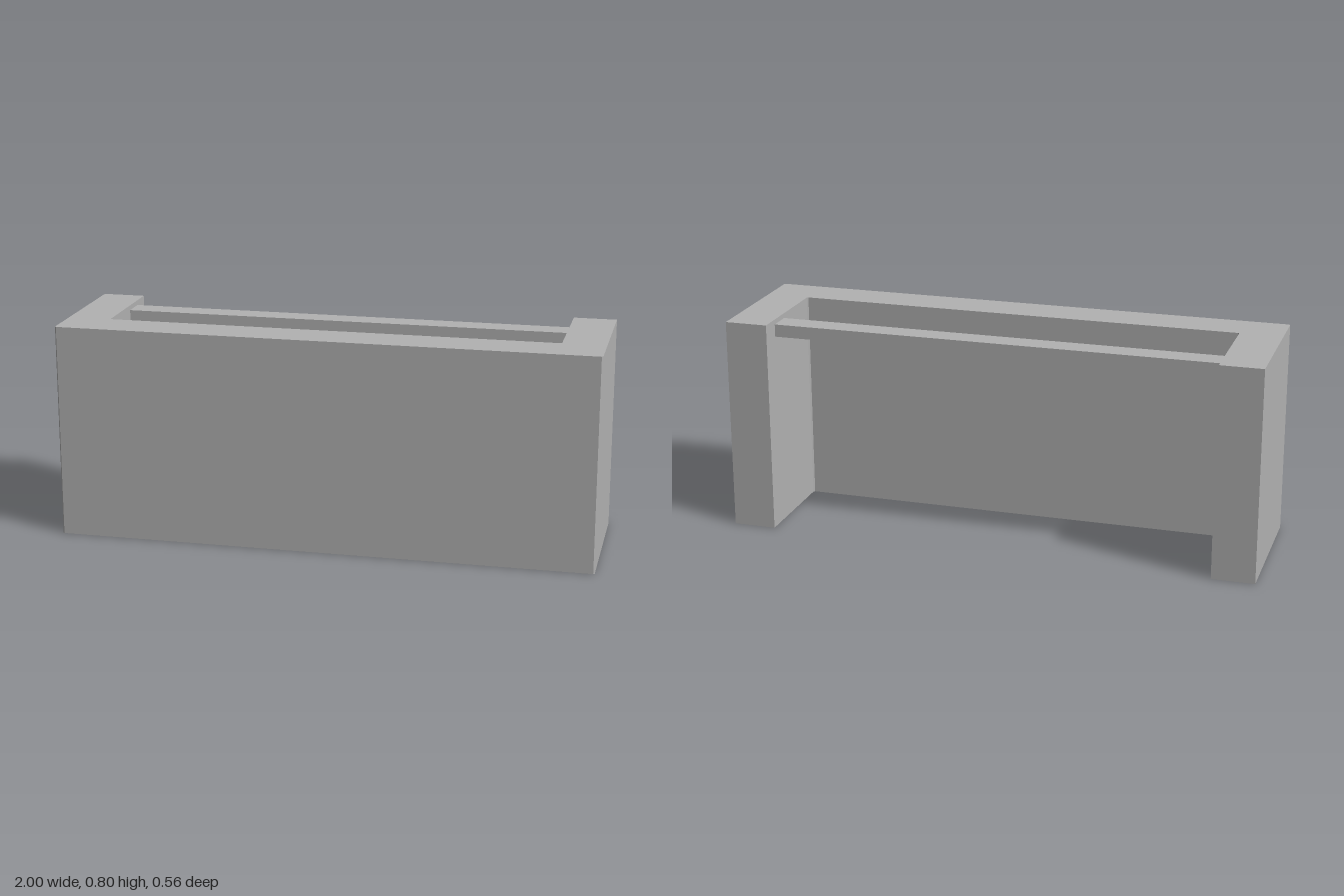
import * as THREE from 'three';

const H = 0.8;     // height
const B = 0.005;   // tiny chamfer on the corners

export function createModel() {
  const group = new THREE.Group();
  const grey = new THREE.MeshStandardMaterial({ color: 0xb2b2b2 });
  grey.name = 'plain grey';

  // U-shaped counter: plan outline (x, -z) extruded upward
  const half = [[0.84, 0.28], [1, 0.28], [1, -0.28 + B], [1 - B, -0.28]];
  const inner = [[0.84 - B, -0.12], [0.84, -0.12 + B]];
  const mirror = (pts) => pts.map(([x, y]) => [-x, y]).reverse();
  const outline = [...inner, ...half, ...mirror(half), ...mirror(inner)];
  const shape = new THREE.Shape(outline.map(([x, y]) => new THREE.Vector2(x, y)));
  const bodyGeo = new THREE.ExtrudeGeometry(shape, { depth: H, bevelEnabled: false });
  bodyGeo.rotateX(-Math.PI / 2);
  const body = new THREE.Mesh(bodyGeo, grey);
  body.name = 'counterBody';
  group.add(body);

  // Narrow rail spanning the open back
  const rail = new THREE.Mesh(new THREE.BoxGeometry(1.68, 0.047, 0.09), grey);
  rail.name = 'backRail';
  rail.position.set(0, 0.758, -0.155);
  group.add(rail);

  return group;
}
